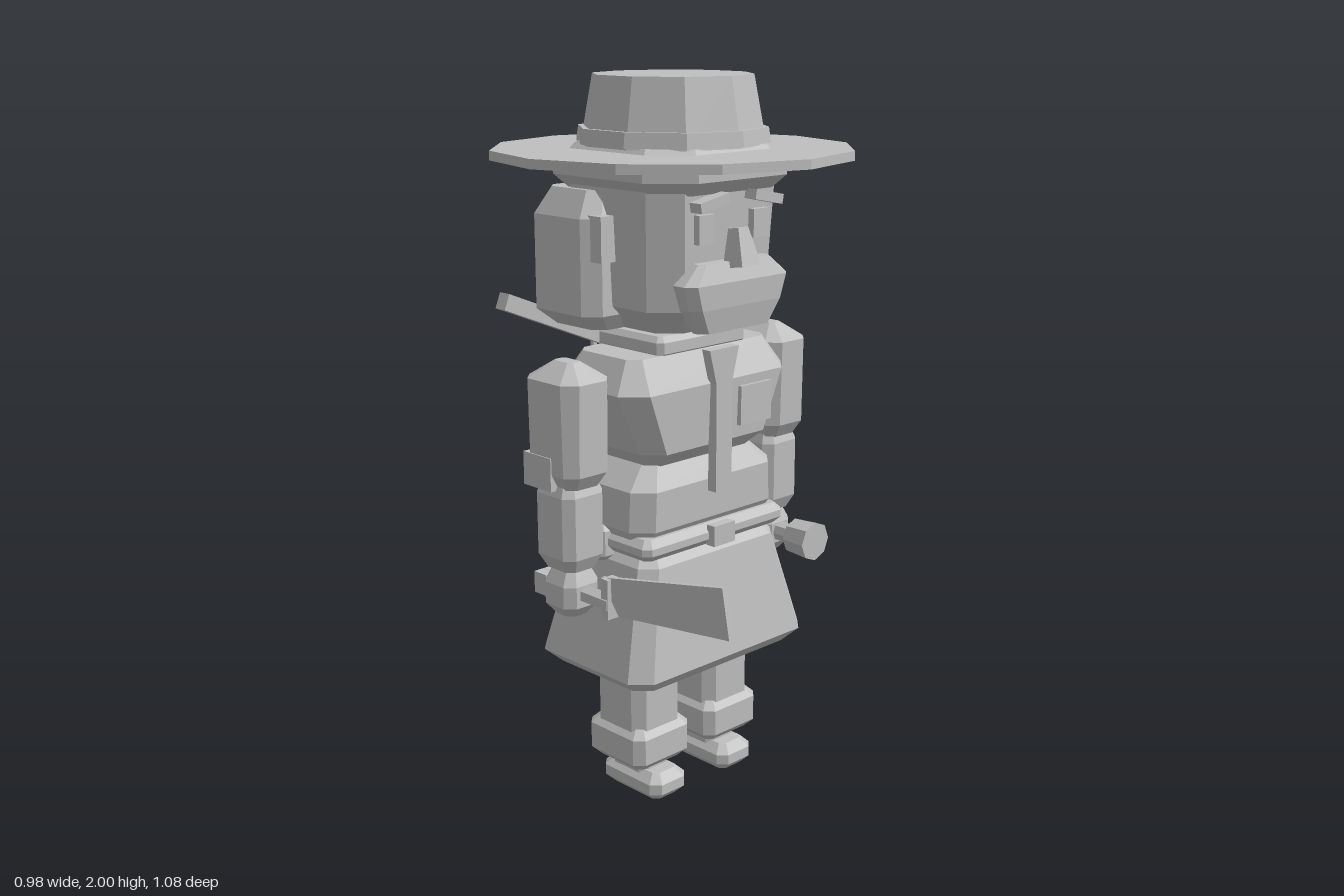
import * as THREE from 'three';

const grey = new THREE.MeshStandardMaterial({ color: 0xbfbfbf });
grey.name = 'plain grey';
grey.flatShading = true;
const CZ = -0.055; // body axis

// Stacked octagonal sections: [y, halfWidth, halfDepth, cornerCut]
function loft(rings) {
  const pos = [];
  const loops = rings.map(([y, w, d, c]) => [
    [w, d - c, -1], [w, d - c, 1], [w - c, d, 1], [c - w, d, 1],
    [-w, d - c, 1], [-w, d - c, -1], [c - w, d, -1], [w - c, d, -1],
  ].map(([x, z, s]) => [x, y, z * s]));
  const tri = (a, b, c) => pos.push(...a, ...b, ...c);
  for (let k = 0; k < loops.length - 1; k++) {
    const lo = loops[k], hi = loops[k + 1];
    for (let i = 0; i < 8; i++) {
      const j = (i + 1) % 8;
      tri(lo[i], hi[i], lo[j]);
      tri(lo[j], hi[i], hi[j]);
    }
  }
  const bottom = loops[0], top = loops[loops.length - 1];
  for (let i = 1; i < 7; i++) {
    tri(bottom[0], bottom[i], bottom[i + 1]);
    tri(top[0], top[i + 1], top[i]);
  }
  const g = new THREE.BufferGeometry();
  g.setAttribute('position', new THREE.Float32BufferAttribute(pos, 3));
  g.computeVertexNormals();
  return g;
}

// Block with all edges bevelled by c
function bevelBlock(w, h, d, c) {
  const x = w / 2, y = h / 2, z = d / 2;
  return loft([[-y, x - c, z - c, c * 0.6], [c - y, x, z, c], [y - c, x, z, c], [y, x - c, z - c, c * 0.6]]);
}

export function createModel() {
  const model = new THREE.Group();
  model.name = 'explorer';
  const add = (name, geo, x = 0, y = 0, z = 0, parent = model) => {
    const m = new THREE.Mesh(geo, grey);
    m.name = name;
    m.position.set(x, y, z);
    parent.add(m);
    return m;
  };
  const box = (w, h, d) => new THREE.BoxGeometry(w, h, d);
  const tube = (r1, r2, h, n) => new THREE.CylinderGeometry(r1, r2, h, n);

  // Hat
  add('hatBrim', tube(0.488, 0.488, 0.025, 12), 0, 1.798, CZ);
  add('hatCrown', tube(0.216, 0.25, 0.18, 10), 0, 1.91, CZ);
  add('hatBand', tube(0.256, 0.262, 0.04, 10), 0, 1.845, CZ);
  add('hatFeather', box(0.014, 0.185, 0.055), 0.247, 1.912, -0.09).rotation.z = 0.42;

  // Head and hair
  add('hairCap', loft([[1.71, 0.225, 0.235, 0.08], [1.745, 0.262, 0.272, 0.1],
    [1.775, 0.262, 0.272, 0.1], [1.86, 0.18, 0.185, 0.08]]), 0, 0, -0.065);
  add('head', loft([[1.34, 0.15, 0.14, 0.05], [1.41, 0.22, 0.2, 0.07],
    [1.72, 0.235, 0.215, 0.07], [1.78, 0.21, 0.19, 0.07]]), 0, 0, CZ);
  add('backHair', loft([[1.34, 0.24, 0.1, 0.03], [1.385, 0.294, 0.132, 0.04],
    [1.64, 0.294, 0.132, 0.04], [1.71, 0.25, 0.1, 0.03]]), 0, 0, -0.188);
  add('beard', loft([[1.355, 0.13, 0.03, 0.02], [1.42, 0.17, 0.042, 0.025],
    [1.485, 0.19, 0.045, 0.025], [1.535, 0.13, 0.025, 0.015]]), 0, 0, 0.163);
  const nose = add('nose', tube(0.026, 0.05, 0.1, 4).rotateY(Math.PI / 4), 0, 1.57, 0.195);
  nose.rotation.x = -0.15;
  for (const s of [-1, 1]) {
    add('eye', box(0.058, 0.075, 0.02), s * 0.1, 1.622, 0.166);
    add('eyebrow', box(0.105, 0.026, 0.04), s * 0.1, 1.692, 0.185).rotation.z = -s * 0.2;
    add('ear', box(0.05, 0.12, 0.08), s * 0.25, 1.59, -0.075);
  }

  // Torso
  add('neck', tube(0.1, 0.1, 0.14, 8), 0, 1.31, CZ);
  add('collar', bevelBlock(0.33, 0.06, 0.255, 0.015), 0, 1.303, -0.06);
  add('chest', loft([[0.98, 0.19, 0.11, 0.03], [1.03, 0.235, 0.165, 0.05],
    [1.2, 0.31, 0.172, 0.06], [1.285, 0.255, 0.115, 0.03]]), 0, 0, -0.052);
  add('abdomen', loft([[0.79, 0.255, 0.14, 0.04], [0.82, 0.27, 0.16, 0.05],
    [0.93, 0.265, 0.16, 0.05], [0.99, 0.2, 0.115, 0.03]]), 0, 0, CZ);
  add('belt', bevelBlock(0.54, 0.06, 0.36, 0.02), 0, 0.775, CZ);
  add('buckle', box(0.08, 0.058, 0.03), 0, 0.777, 0.132);
  add('skirt', loft([[0.385, 0.295, 0.185, 0.04], [0.425, 0.338, 0.223, 0.05],
    [0.72, 0.258, 0.17, 0.04], [0.75, 0.23, 0.14, 0.03]]), 0, 0, CZ);

  // Neckerchief, pocket and belt pouches
  const knot = new THREE.Shape([[-0.055, 1.295], [-0.03, 1.2], [-0.03, 0.9], [0.03, 0.9], [0.03, 1.2],
    [0.055, 1.295]].map(([x, y]) => new THREE.Vector2(x, y)));
  add('tie', new THREE.ExtrudeGeometry(knot, { depth: 0.03, bevelEnabled: false }), 0, 0, 0.112);
  add('chestPocket', box(0.12, 0.11, 0.03), 0.138, 1.12, 0.115);
  add('backPouch', bevelBlock(0.25, 0.125, 0.09, 0.02), 0, 0.72, -0.237);
  add('holster', box(0.05, 0.22, 0.07), 0.285, 0.69, -0.095).rotation.z = 0.15;
  add('hipPouch', bevelBlock(0.06, 0.1, 0.1, 0.015), -0.265, 0.77, -0.08);

  // Arms and legs
  for (const s of [-1, 1]) {
    const side = s > 0 ? 'left' : 'right';
    const arm = new THREE.Group();
    arm.name = side + 'Arm';
    model.add(arm);
    add('upperArm', loft([[0.96, 0.055, 0.07, 0.02], [1.0, 0.076, 0.096, 0.03],
      [1.245, 0.08, 0.1, 0.035], [1.29, 0.02, 0.035, 0.01]]), s * 0.38, 0, CZ, arm);
    add('forearm', loft([[0.73, 0.05, 0.055, 0.02], [0.77, 0.07, 0.075, 0.025],
      [0.94, 0.07, 0.075, 0.025], [0.975, 0.055, 0.06, 0.02]]), s * 0.38, 0, CZ, arm);
    add('hand', loft([[0.598, 0.035, 0.035, 0.015], [0.63, 0.06, 0.062, 0.025],
      [0.69, 0.06, 0.062, 0.025], [0.74, 0.035, 0.04, 0.015]]), s * 0.38, 0, CZ, arm);

    const leg = new THREE.Group();
    leg.name = side + 'Leg';
    model.add(leg);
    add('thigh', loft([[0.19, 0.09, 0.095, 0.03], [0.42, 0.09, 0.095, 0.03]]), s * 0.138, 0, CZ, leg);
    add('bootCuff', bevelBlock(0.21, 0.125, 0.225, 0.025), s * 0.138, 0.16, CZ, leg);
    add('ankle', bevelBlock(0.11, 0.07, 0.14, 0.02), s * 0.134, 0.085, CZ, leg);
    add('foot', bevelBlock(0.135, 0.08, 0.235, 0.025), s * 0.134, 0.04, -0.038, leg);
  }
  add('armStrap', box(0.03, 0.09, 0.11), -0.445, 1.0, -0.09);

  // Machete in the right hand
  const blade = new THREE.Shape([[0.07, 0.73], [0.14, 0.64], [0.54, 0.69], [0.515, 0.82]]
    .map(([z, y]) => new THREE.Vector2(z, y)));
  add('macheteBlade', new THREE.ExtrudeGeometry(blade, { depth: 0.014, bevelEnabled: false })
    .rotateY(-Math.PI / 2), -0.373, 0, 0);
  add('macheteHandle', tube(0.026, 0.026, 0.28, 6).rotateX(Math.PI / 2), -0.38, 0.665, -0.03);
  add('machetePommel', box(0.06, 0.06, 0.05), -0.38, 0.66, -0.15);
  add('macheteGuard', box(0.04, 0.11, 0.025), -0.38, 0.68, 0.1);

  // Torch in the left hand
  add('torchHead', tube(0.058, 0.052, 0.08, 8).rotateX(Math.PI / 2), 0.38, 0.662, 0.105);
  add('torchHandle', tube(0.03, 0.03, 0.22, 8).rotateX(Math.PI / 2), 0.38, 0.662, -0.04);
  add('torchCap', tube(0.036, 0.036, 0.05, 8).rotateX(Math.PI / 2), 0.38, 0.662, -0.152);

  // Crossed tools and bottle on the back
  add('backStaff', box(0.07, 0.61, 0.055), 0, 1.08, -0.303).rotation.z = -0.45;
  add('backBar', box(0.68, 0.045, 0.04), -0.065, 1.28, -0.318).rotation.z = -0.39;
  add('bottle', loft([[0.835, 0.04, 0.03, 0.012], [0.86, 0.055, 0.046, 0.018],
    [1.12, 0.055, 0.046, 0.018], [1.14, 0.04, 0.03, 0.012]]), 0.04, 0, -0.398);
  for (const x of [0.01, 0.04, 0.07]) add('bottleStrap', box(0.013, 0.13, 0.013), x, 1.19, -0.398);

  return model;
}
